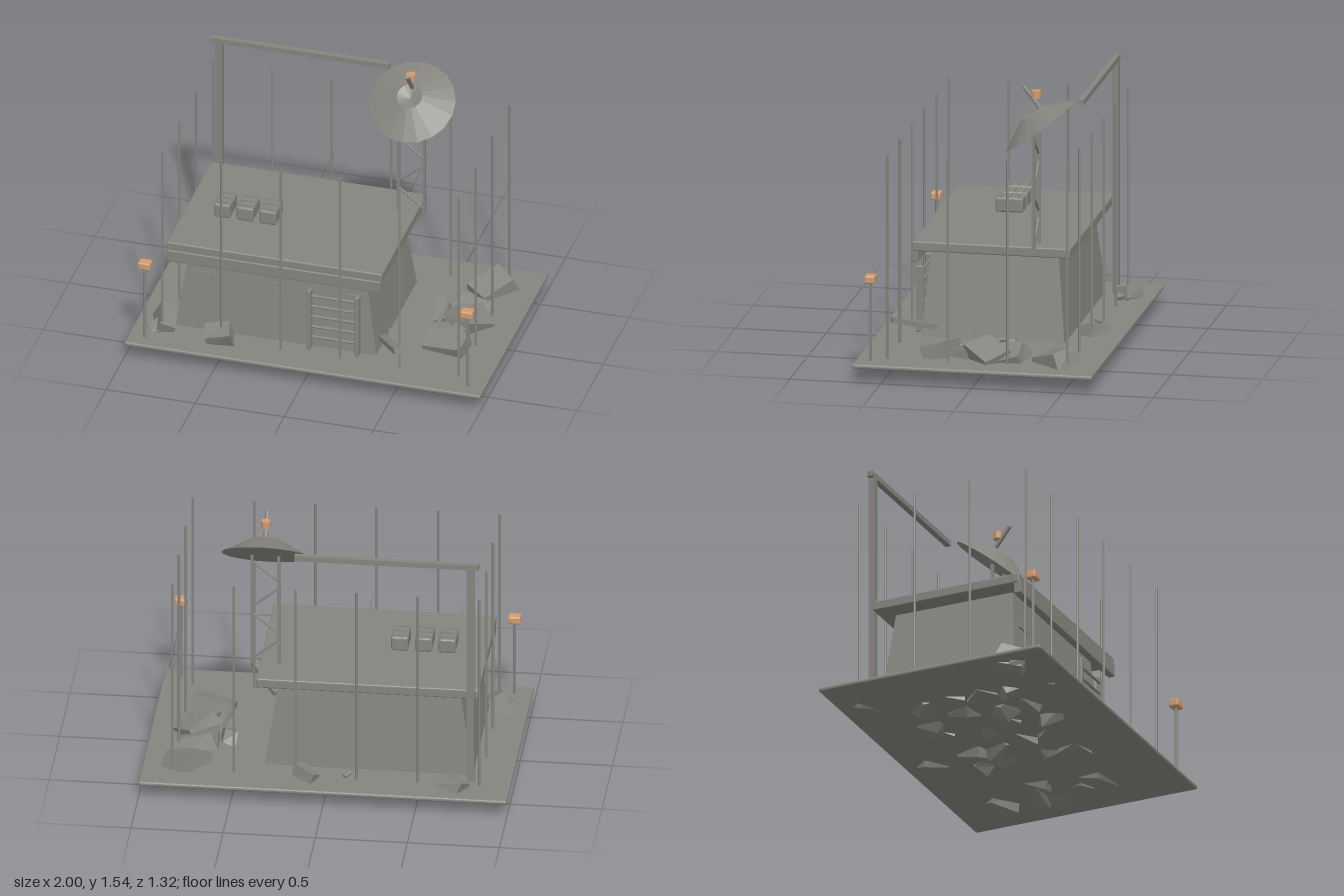
import * as THREE from 'three';
import { RoundedBoxGeometry } from 'three/addons/geometries/RoundedBoxGeometry.js';

export function createModel() {
  const root = new THREE.Group();
  const concrete = new THREE.MeshStandardMaterial({ color: 0x85847e, flatShading: true });
  concrete.name = 'concreteGrey';
  const orange = new THREE.MeshStandardMaterial({ color: 0xd09a70 });
  orange.name = 'lampOrange';

  let seed = 7;
  const rand = () => (seed = (seed * 16807) % 2147483647) / 2147483647;

  function add(name, geo, x, y, z, mat = concrete, parent = root) {
    const m = new THREE.Mesh(geo, mat);
    m.name = name;
    m.position.set(x, y, z);
    parent.add(m);
    return m;
  }
  const box = (name, w, h, d, x, y, z, mat, parent) =>
    add(name, new THREE.BoxGeometry(w, h, d), x, y, z, mat, parent);
  const rounded = (name, w, h, d, r, x, y, z, mat, parent) =>
    add(name, new RoundedBoxGeometry(w, h, d, 2, r), x, y, z, mat, parent);
  // Round bar between two points
  function bar(name, a, b, r, parent = root) {
    const p = new THREE.Vector3(...a), q = new THREE.Vector3(...b);
    const d = q.clone().sub(p);
    const m = add(name, new THREE.CylinderGeometry(r, r, d.length(), 8), 0, 0, 0, concrete, parent);
    m.position.copy(p).add(q).multiplyScalar(0.5);
    m.quaternion.setFromUnitVectors(new THREE.Vector3(0, 1, 0), d.normalize());
    return m;
  }

  // Ground slab
  rounded('groundSlab', 2, 0.025, 1.32, 0.01, 0, 0.078, 0);

  // Bunker with sloping walls
  const walls = new THREE.BoxGeometry(1.13, 0.49, 0.79);
  const wp = walls.attributes.position;
  for (let i = 0; i < wp.count; i++) {
    if (wp.getY(i) > 0) {
      wp.setX(i, wp.getX(i) * 0.87);
      wp.setZ(i, wp.getZ(i) * 0.88);
    }
  }
  walls.computeVertexNormals();
  add('bunkerWalls', walls, -0.22, 0.335, 0.015);
  rounded('roofSlab', 1.21, 0.055, 0.87, 0.008, -0.217, 0.603, 0.015);
  rounded('frontFascia', 1.2, 0.07, 0.04, 0.006, -0.218, 0.55, 0.438);
  for (const x of [-0.63, -0.222]) {
    box('frontVent', 0.1, 0.06, 0.025, x, 0.407, 0.378).rotation.x = -0.097;
  }

  // Door and ladder
  box('doorPanel', 0.235, 0.33, 0.012, 0.117, 0.265, 0.394).rotation.x = -0.097;
  const ladder = new THREE.Group();
  ladder.name = 'ladder';
  root.add(ladder);
  for (const x of [-0.023, 0.247]) rounded('ladderRail', 0.025, 0.37, 0.042, 0.006, x, 0.275, 0.435, concrete, ladder);
  for (let i = 0; i < 5; i++) {
    const y = 0.165 + i * 0.064;
    bar('ladderRung', [-0.02, y, 0.435], [0.245, y, 0.435], 0.008, ladder);
  }

  // Roof equipment boxes
  for (const x of [-0.605, -0.476, -0.347]) {
    rounded('roofBox', 0.093, 0.083, 0.152, 0.012, x, 0.674, 0.055);
    for (const z of [0.005, 0.055, 0.105]) box('roofBoxRib', 0.075, 0.008, 0.008, x, 0.717, z);
  }

  // Gantry behind the bunker
  box('gantryPost', 0.04, 1.3, 0.036, -0.78, 0.735, -0.437);
  box('gantryBeam', 1, 0.03, 0.032, -0.325, 1.395, -0.437);

  // Lattice mast
  const mast = new THREE.Group();
  mast.name = 'mast';
  root.add(mast);
  const left = 0.285, right = 0.43, mz = -0.226;
  for (const x of [left, right]) box('mastLeg', 0.016, 0.65, 0.018, x, 0.955, mz, concrete, mast);
  for (let i = 0; i < 4; i++) {
    const y = 0.655 + i * 0.158;
    const s = i % 2 === 0;
    bar('mastBrace', [s ? right : left, y, mz], [s ? left : right, y + 0.118, mz], 0.007, mast);
  }

  // Tilted dish
  const dish = new THREE.Group();
  dish.name = 'dish';
  dish.position.set(0.355, 1.303, -0.253);
  dish.rotation.x = 0.65;
  root.add(dish);
  const profile = [[0, 0], [0.238, 0], [0.07, 0.086], [0, 0.055]].map(p => new THREE.Vector2(...p));
  add('dishShell', new THREE.LatheGeometry(profile, 18), 0, 0, 0, concrete, dish);
  bar('feedRod', [0.355, 1.355, -0.285], [0.355, 1.52, -0.157], 0.012);
  add('feedHorn', new THREE.CylinderGeometry(0.026, 0.026, 0.04, 16), 0.355, 1.477, -0.226, orange);

  // Perimeter poles
  const pole = new THREE.CylinderGeometry(0.007, 0.007, 1.14, 8);
  for (let i = 0; i < 6; i++) {
    for (let j = 0; j < 4; j++) {
      if (i % 5 && j % 3) continue;
      add('fencePole', pole, (i - 2.5) / 3, 0.657, (j - 1.5) * 0.329);
    }
  }

  // Corner lamps
  for (const x of [-0.905, 0.905]) {
    bar('lampPost', [x, 0.09, 0.575], [x, 0.53, 0.575], 0.008);
    rounded('lampHead', 0.07, 0.045, 0.057, 0.01, x, 0.548, 0.575, orange);
  }

  // Irregular rubble blocks
  function rock(x, y, z, w, h, d, yaw, tilt = 0, roll = 0) {
    const g = new THREE.BoxGeometry(w, h, d);
    const p = g.attributes.position;
    const scale = Array.from({ length: 8 }, () => 0.78 + rand() * 0.3);
    for (let i = 0; i < p.count; i++) {
      const k = (p.getX(i) > 0) + 2 * (p.getY(i) > 0) + 4 * (p.getZ(i) > 0);
      p.setXYZ(i, p.getX(i) * scale[k], p.getY(i) * scale[k], p.getZ(i) * scale[k]);
    }
    g.computeVertexNormals();
    add('rubble', g, x, y, z).rotation.set(tilt, yaw, roll, 'YXZ');
  }
  rock(-0.7, 0.11, -0.53, 0.15, 0.08, 0.1, -0.5, 0.4, 0.2);
  rock(-0.68, 0.1, -0.49, 0.13, 0.07, 0.07, 0.2, 0.2, -0.3);
  rock(0.11, 0.1, -0.5, 0.15, 0.09, 0.08, -0.6, 0.3, 0.2);
  rock(0.76, 0.11, -0.41, 0.22, 0.1, 0.16, 0.9, 0.15, 0.3);
  rock(0.72, 0.1, -0.17, 0.2, 0.1, 0.15, -0.1, 0.3, -0.3);
  rock(0.75, 0.12, -0.04, 0.22, 0.11, 0.19, 0.75, 0.3, -0.35);
  rock(0.57, 0.1, -0.1, 0.08, 0.09, 0.17, 0.2, 0.4, 0.3);
  rock(0.71, 0.1, 0.1, 0.1, 0.08, 0.12, -0.4, 0.2, 0.1);
  rock(0.69, 0.11, 0.23, 0.24, 0.09, 0.14, -0.15, 0.3, 0.15);
  rock(-0.84, 0.1, 0.42, 0.1, 0.15, 0.17, 0.2, 0.3, -0.4);
  rock(-0.87, 0.08, 0.47, 0.09, 0.08, 0.09, 0.6, 0.3, 0.3);
  rock(-0.51, 0.13, 0.5, 0.16, 0.09, 0.12, 0.15, 0.35, 0.3);
  box('fallenPlank', 0.04, 0.03, 0.27, 0.43, 0.185, 0.43).rotation.set(-0.25, 0.6, 0, 'YXZ');
  bar('fallenBar', [0.6, 0.17, -0.12], [0.585, 0.1, 0.21], 0.012);
  bar('fallenBar', [-0.13, 0.11, -0.46], [-0.1, 0.1, -0.49], 0.012);

  // Rubble buried beneath the bunker and along its sides
  for (let i = 0; i < 20; i++) {
    const x = -0.65 + (i % 5) * 0.21 + rand() * 0.1;
    const z = -0.3 + Math.floor(i / 5) * 0.18 + rand() * 0.08;
    rock(x, 0.085, z, 0.1 + rand() * 0.07, 0.06 + rand() * 0.03, 0.08 + rand() * 0.06,
      rand() * 3, rand() - 0.5, rand() * 1.2 - 0.6);
  }
  return root;
}
